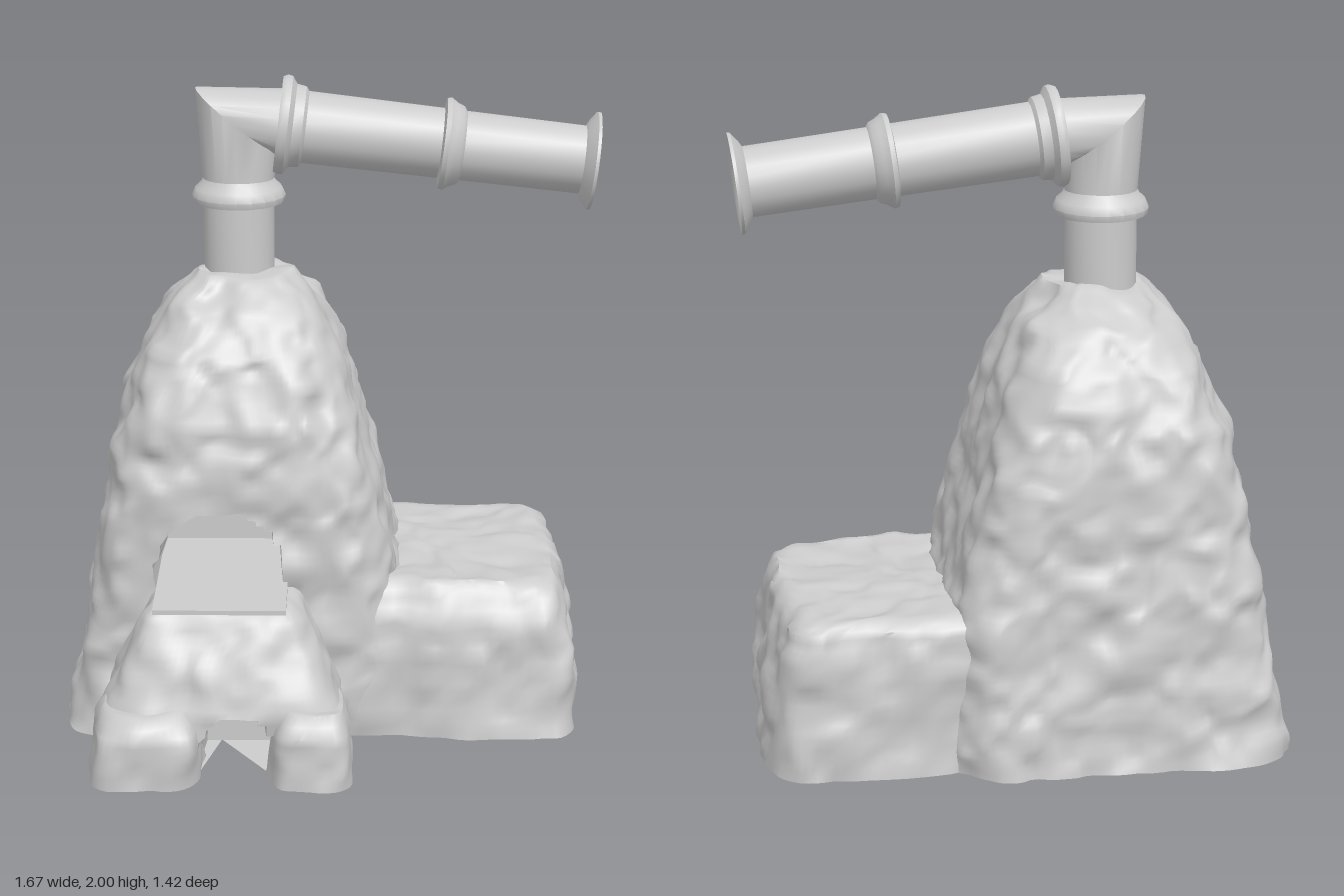
import * as THREE from 'three';
import { toCreasedNormals } from 'three/addons/utils/BufferGeometryUtils.js';

const clay = new THREE.MeshStandardMaterial({ color: 0xcccccc });
const metal = new THREE.MeshStandardMaterial({ color: 0xcccccc, side: THREE.DoubleSide });

// Smooth lattice noise in -1..1
const hash = (x, y, z) => {
  const s = Math.sin(x * 127.1 + y * 311.7 + z * 74.7) * 43758.5453;
  return (s - Math.floor(s)) * 2 - 1;
};
const mix = THREE.MathUtils.lerp;
function noise(x, y, z) {
  const c = [x, y, z].map(Math.floor);
  const f = [x - c[0], y - c[1], z - c[2]].map(t => t * t * (3 - 2 * t));
  const edge = (dy, dz) => mix(hash(c[0], c[1] + dy, c[2] + dz), hash(c[0] + 1, c[1] + dy, c[2] + dz), f[0]);
  return mix(mix(edge(0, 0), edge(1, 0), f[1]), mix(edge(0, 1), edge(1, 1), f[1]), f[2]);
}

// Skin a list of closed rings of Vector3
function loft(rings, crease) {
  const n = rings[0].length, index = [];
  for (let i = 0; i < rings.length - 1; i++) {
    for (let j = 0; j < n; j++) {
      const k = (j + 1) % n;
      const a = i * n + j, b = i * n + k, c = a + n, d = b + n;
      index.push(a, c, b, b, c, d);
    }
  }
  const g = new THREE.BufferGeometry().setFromPoints(rings.flat());
  g.setIndex(index);
  return toCreasedNormals(g, crease);
}

// Point on a rounded square, t in 0..1
function roundedSquare(t, p) {
  const side = Math.floor(t * 4), s = (t * 4 - side) * 2 - 1;
  const [a, b] = [[1, s], [-s, 1], [-1, -s], [s, -1]][side];
  const k = Math.pow(Math.abs(a) ** p + Math.abs(b) ** p, -1 / p);
  return [a * k, b * k];
}

// Rough clay mound; rows are [y, xMin, xMax, zMin, zMax, squareness]
function mound(name, rows, { n = 120, step = 0.03, rough = 0.022, carve } = {}) {
  const first = rows[0], last = rows[rows.length - 1];
  const collapse = r => {
    const x = (r[1] + r[2]) / 2, z = (r[3] + r[4]) / 2;
    return [r[0], x, x, z, z, r[5]];
  };
  const all = [collapse(first), ...rows, collapse(last)];
  const rings = [];
  const addRing = r => {
    const ring = [];
    for (let j = 0; j < n; j++) {
      const [a, b] = roundedSquare(j / n, r[5]);
      let x = (r[1] + r[2]) / 2 + a * (r[2] - r[1]) / 2;
      let y = r[0];
      let z = (r[3] + r[4]) / 2 + b * (r[4] - r[3]) / 2;
      const bump = s => rough * (noise(x * 9 + s, y * 9, z * 9) + 0.5 * noise(x * 19, y * 19 + s, z * 19));
      const dx = bump(3), dy = bump(17), dz = bump(41);
      x += dx;
      z += dz;
      if (y > 0) y = Math.max(0, y + dy * 0.7);
      if (carve) {
        // Push the front inwards under an arch
        const h = (y - carve.y0) / (carve.y1 - carve.y0);
        const inside = h >= 0 && h < 1 && Math.abs(x - carve.x) < carve.w * Math.sqrt(1 - h ** 2.5);
        if (inside && z > carve.z) z = carve.z;
      }
      ring.push(new THREE.Vector3(x, y, z));
    }
    rings.push(ring);
  };
  for (let i = 0; i < all.length - 1; i++) {
    const a = all[i], b = all[i + 1];
    const size = Math.max(...a.slice(0, 5).map((v, k) => Math.abs(v - b[k])));
    const steps = i === 0 ? 1 : Math.max(1, Math.ceil(size / step));
    for (let s = 0; s < steps; s++) addRing(a.map((v, k) => mix(v, b[k], s / steps)));
  }
  addRing(all[all.length - 1]);
  const mesh = new THREE.Mesh(loft(rings, 1.0), clay);
  mesh.name = name;
  return mesh;
}

function lathe(name, profile) {
  const g = new THREE.LatheGeometry(profile.map(p => new THREE.Vector2(...p)), 20);
  const mesh = new THREE.Mesh(toCreasedNormals(g, 0.7), metal);
  mesh.name = name;
  return mesh;
}

export function createModel() {
  const model = new THREE.Group();

  // Domed oven body with the fire opening
  model.add(mound('ovenBody', [
    [0, -0.82, 0.26, -0.70, 0.29, 7],
    [0.3, -0.76, 0.24, -0.67, 0.29, 7],
    [0.5, -0.73, 0.22, -0.65, 0.29, 6],
    [0.8, -0.68, 0.14, -0.62, 0.29, 5],
    [1.0, -0.64, 0.09, -0.59, 0.26, 4.5],
    [1.2, -0.57, 0.02, -0.53, 0.18, 4],
    [1.3, -0.50, -0.03, -0.43, 0.10, 3.5],
    [1.4, -0.41, -0.12, -0.28, 0.0, 3],
  ], { n: 160, step: 0.022, carve: { x: -0.33, w: 0.19, y0: 0.5, y1: 0.73, z: -0.1 } }));

  // Low bench on the left side
  model.add(mound('sideBench', [
    [0, -0.1, 0.79, -0.61, 0.29, 9],
    [0.15, -0.1, 0.78, -0.61, 0.28, 9],
    [0.38, -0.1, 0.745, -0.60, 0.26, 9],
    [0.45, -0.1, 0.73, -0.585, 0.23, 8],
    [0.48, -0.08, 0.69, -0.55, 0.19, 7],
  ]));

  // Hearth in front, with the ash hole
  model.add(mound('hearth', [
    [0, -0.70, 0.06, 0.0, 0.61, 6],
    [0.2, -0.67, 0.04, 0.0, 0.62, 6],
    [0.36, -0.60, -0.02, 0.0, 0.56, 6],
    [0.47, -0.55, -0.07, 0.0, 0.51, 6],
    [0.5, -0.52, -0.11, 0.02, 0.48, 6],
  ], { rough: 0.015, step: 0.022, carve: { x: -0.27, w: 0.12, y0: 0, y1: 0.2, z: 0.31 } }));

  // Two feet either side of the ash hole
  for (const [name, x0, x1] of [['rightFoot', -0.72, -0.38], ['leftFoot', -0.17, 0.08]]) {
    model.add(mound(name, [
      [0, x0, x1, 0.33, 0.70, 5],
      [0.16, x0 + 0.02, x1 - 0.01, 0.33, 0.69, 5],
      [0.22, x0 + 0.06, x1 - 0.04, 0.36, 0.64, 4],
    ], { n: 48, rough: 0.014 }));
  }

  // Thin slab lying in the opening
  const slab = new THREE.Mesh(new THREE.BoxGeometry(0.4, 0.014, 0.64), clay);
  slab.name = 'hearthSlab';
  slab.position.set(-0.32, 0.516, 0.23);
  model.add(slab);

  // Chimney: upright pipe with its collar
  const upright = lathe('uprightPipe', [
    [0.11, 1.3], [0.11, 1.61], [0.14, 1.61], [0.146, 1.63], [0.135, 1.655], [0.118, 1.67], [0.108, 1.69],
  ]);
  upright.position.set(-0.278, 0, -0.168);
  model.add(upright);

  // Mitred elbow
  const elbowRing = (cx, cy, ox, oy) => Array.from({ length: 20 }, (_, i) => {
    const a = i / 20 * Math.PI * 2;
    return new THREE.Vector3(cx + ox * Math.cos(a), cy + oy * Math.cos(a), -0.168 + 0.11 * Math.sin(a));
  });
  const elbow = new THREE.Mesh(loft([
    elbowRing(-0.278, 1.67, 0.11, 0),
    elbowRing(-0.285, 1.866, 0.125, -0.1),
    elbowRing(-0.13, 1.851, -0.013, -0.11),
  ], 0.7), metal);
  elbow.name = 'elbow';
  model.add(elbow);

  // Sloping outlet pipe with two collars and a flared, hollow end
  const outlet = lathe('outletPipe', [
    [0.1, 0], [0.148, 0], [0.155, 0.015], [0.152, 0.03], [0.13, 0.045], [0.125, 0.075], [0.112, 0.085],
    [0.109, 0.505], [0.14, 0.51], [0.144, 0.525], [0.13, 0.545], [0.122, 0.565], [0.108, 0.575],
    [0.106, 0.945], [0.125, 0.955], [0.152, 0.975], [0.152, 0.985], [0.115, 0.975], [0.088, 0.945], [0.088, 0.5],
  ]);
  outlet.position.set(-0.155, 1.852, -0.168);
  outlet.rotation.z = -Math.PI / 2 - 0.117;
  model.add(outlet);

  return model;
}
